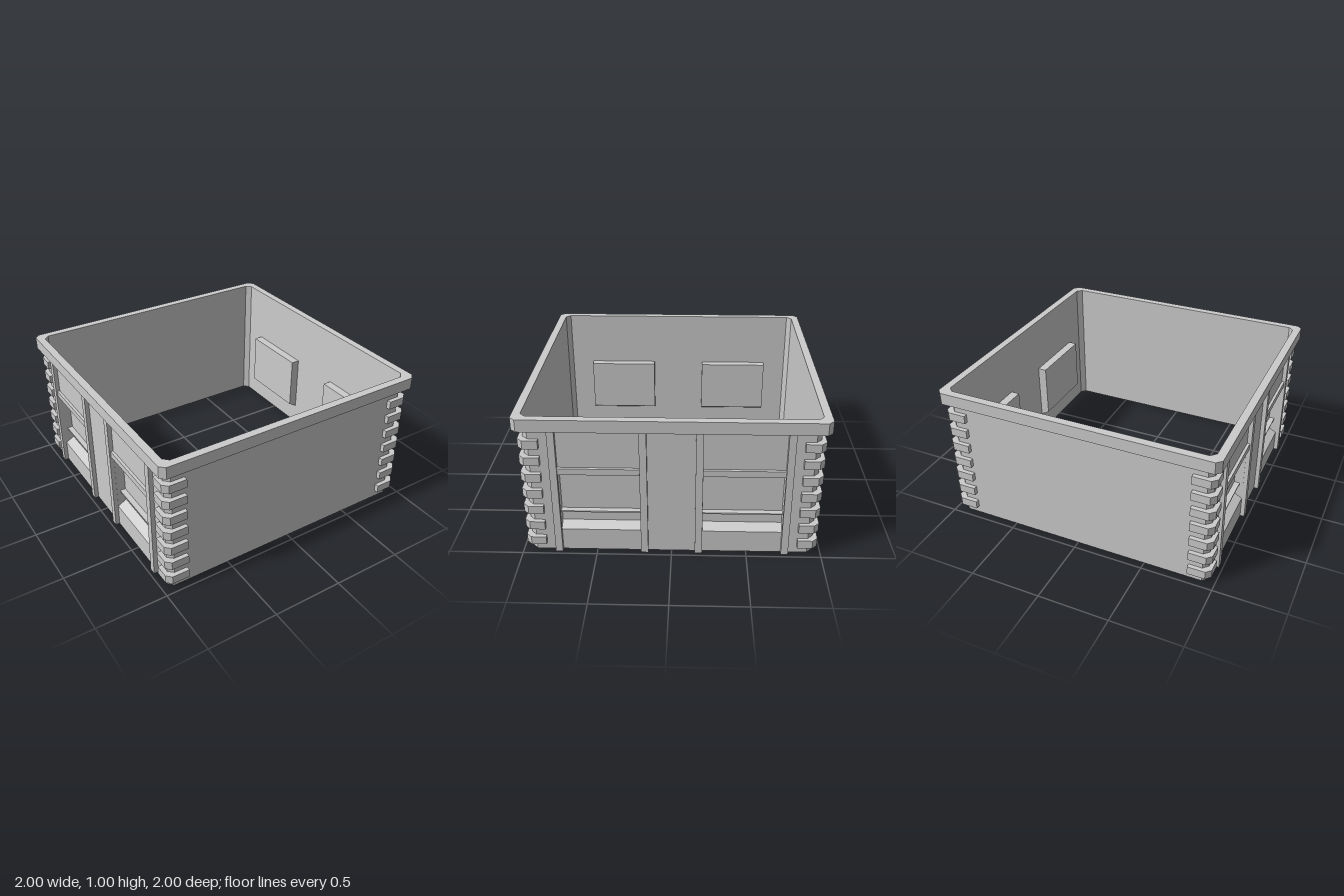
import * as THREE from 'three';

const mat = new THREE.MeshStandardMaterial({ color: 0xcccccc, flatShading: true, side: THREE.DoubleSide });
const W = 0.945;      // wall plane
const C = 0.91;       // where the corner chamfer starts
const TOP = 0.92;     // underside of the rim

function add(parent, name, geometry, x = 0, y = 0, z = 0) {
  const mesh = new THREE.Mesh(geometry, mat);
  mesh.name = name;
  mesh.position.set(x, y, z);
  parent.add(mesh);
  return mesh;
}

const box = (parent, name, x0, x1, y0, y1, z0, z1) =>
  add(parent, name, new THREE.BoxGeometry(x1 - x0, y1 - y0, z1 - z0),
    (x0 + x1) / 2, (y0 + y1) / 2, (z0 + z1) / 2);

function quad(parent, name, a, b, c, d) {
  const g = new THREE.BufferGeometry();
  g.setAttribute('position', new THREE.Float32BufferAttribute([...a, ...b, ...c, ...a, ...c, ...d], 3));
  g.setAttribute('uv', new THREE.Float32BufferAttribute(new Array(12).fill(0), 2));
  g.computeVertexNormals();
  return add(parent, name, g);
}

const points = (list) => list.map(([x, y]) => new THREE.Vector2(x, y));

// Square outline with chamfered corners: r = half width, c = start of chamfer
const chamferedSquare = (r, c) =>
  points([[r, -c], [r, c], [c, r], [-c, r], [-r, c], [-r, -c], [-c, -r], [c, -r]]);

// Extrude a plan outline upwards
function extrudeUp(shape, height) {
  const g = new THREE.ExtrudeGeometry(shape, { depth: height, bevelEnabled: false });
  return g.rotateX(-Math.PI / 2);
}

// Recessed window: back panel, head, jambs, sloping sill and shelf
function addWindow(parent, z0, z1) {
  const group = new THREE.Group();
  group.name = 'windowRecess';
  parent.add(group);
  const section = [[W, 0.16], [0.88, 0.195], [0.88, 0.595], [W, 0.595]];
  ['sill', 'windowPanel', 'windowHead'].forEach((name, i) => {
    const [p, q] = [section[i], section[i + 1]];
    quad(group, name, [...p, z0], [...p, z1], [...q, z1], [...q, z0]);
  });
  for (const z of [z0, z1]) quad(group, 'jamb', ...section.map((p) => [...p, z]));
  box(group, 'windowShelf', 0.88, 0.92, 0.28, 0.29, z0, z1);
  box(group, 'crossbar', W, 0.965, 0.595, 0.64, z0, z1);
}

// Corner blocks wrapped around the chamfered corner (sz = +1 front, -1 back)
function addCornerBlocks(parent, sz) {
  const outline = points([[0.815, W], [C, W], [W, C], [W, 0.84],
    [0.975, 0.84], [0.975, 0.94], [0.94, 0.975], [0.815, 0.975]]);
  const shape = new THREE.Shape(outline.map((p) => new THREE.Vector2(p.x, -sz * p.y)));
  const g = extrudeUp(shape, 0.06);
  for (let i = 0; i < 7; i++) add(parent, 'cornerBlock', g, 0, 0.053 + i * 0.122, 0);
}

// One long wall, one window wall and two corners
function createHalf() {
  const half = new THREE.Group();
  half.name = 'wallHalf';
  add(half, 'plainWall', new THREE.PlaneGeometry(2 * C, TOP), 0, TOP / 2, W);

  // Window wall with two openings
  const wall = new THREE.Shape(points([[-C, 0], [C, 0], [C, TOP], [-C, TOP]]));
  for (const [a, b] of [[-0.735, -0.205], [0.205, 0.735]]) {
    wall.holes.push(new THREE.Path(points([[a, 0.16], [a, 0.595], [b, 0.595], [b, 0.16]])));
    addWindow(half, a, b);
  }
  add(half, 'windowWall', new THREE.ShapeGeometry(wall).rotateY(Math.PI / 2), W, 0, 0);

  // Vertical strips beside the windows
  for (const z of [-0.757, -0.18, 0.18, 0.757]) {
    box(half, 'pilaster', W, 0.975, 0, TOP, z - 0.024, z + 0.024);
  }

  for (const s of [1, -1]) {
    quad(half, 'cornerWall', [C, 0, s * W], [W, 0, s * C], [W, TOP, s * C], [C, TOP, s * W]);
    addCornerBlocks(half, s);
  }
  return half;
}

export function createModel() {
  const model = new THREE.Group();
  model.name = 'openBuildingStorey';
  const front = createHalf();
  const back = createHalf();
  back.rotation.y = Math.PI;
  model.add(front, back);

  // Rim around the top
  const rim = new THREE.Shape(chamferedSquare(1, 0.965));
  rim.holes.push(new THREE.Path(chamferedSquare(W, C).reverse()));
  add(model, 'topRim', extrudeUp(rim, 0.085), 0, TOP, 0);
  return model;
}
